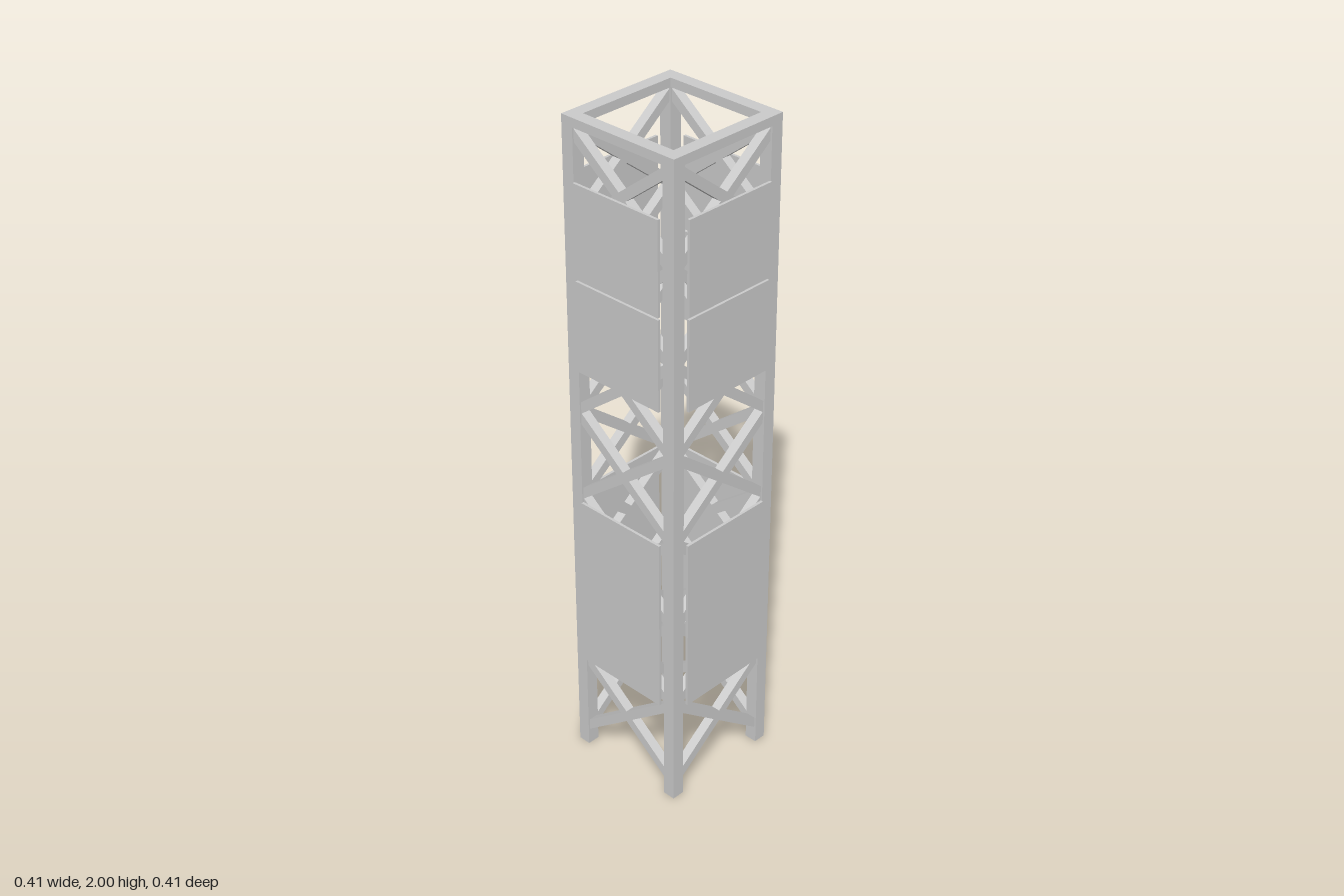
import * as THREE from 'three';

const material = new THREE.MeshStandardMaterial({ color: 0xcccccc, flatShading: true });

function box(parent, name, w, h, d, x, y, z) {
  const mesh = new THREE.Mesh(new THREE.BoxGeometry(w, h, d), material);
  mesh.name = name;
  mesh.position.set(x, y, z);
  parent.add(mesh);
  return mesh;
}

export function createModel() {
  const tower = new THREE.Group();
  tower.name = 'latticeTower';

  const post = 0.038;        // post thickness
  const outer = 0.193;       // half width over the posts
  const mid = outer - post / 2;
  const ringHeight = 0.026;
  const bays = 7;
  const pitch = 0.2735;      // height of one braced bay
  const firstBay = 0.19;     // centre of the lowest cross

  // Corner posts
  for (const x of [-mid, mid]) {
    for (const z of [-mid, mid]) {
      box(tower, 'cornerPost', post, 2 - ringHeight, post, x, (2 - ringHeight) / 2, z);
    }
  }

  // Square ring on top
  const ringShape = new THREE.Shape();
  ringShape.moveTo(-outer, -outer).lineTo(outer, -outer).lineTo(outer, outer).lineTo(-outer, outer).closePath();
  const inner = outer - post;
  const hole = new THREE.Path();
  hole.moveTo(-inner, -inner).lineTo(-inner, inner).lineTo(inner, inner).lineTo(inner, -inner).closePath();
  ringShape.holes.push(hole);
  const ringGeometry = new THREE.ExtrudeGeometry(ringShape, { depth: ringHeight, bevelEnabled: false });
  ringGeometry.rotateX(-Math.PI / 2);
  const ring = new THREE.Mesh(ringGeometry, material);
  ring.name = 'topRing';
  ring.position.y = 2 - ringHeight;
  tower.add(ring);

  // Panels as [bottom, top]
  const panels = [[0.325, 0.868], [1.286, 1.554], [1.56, 1.83]];

  // Four identical sides: crossed braces with panels in front
  const braceAngle = Math.atan2(0.775, 1);
  const braceLength = 2 * 0.168 / Math.cos(braceAngle);
  for (let s = 0; s < 4; s++) {
    const side = new THREE.Group();
    side.name = 'side';
    side.rotation.y = s * Math.PI / 2;
    for (let i = 0; i < bays; i++) {
      for (const dir of [-1, 1]) {
        const brace = box(side, 'crossBrace', braceLength, 0.028, 0.028, 0, firstBay + i * pitch, mid);
        brace.rotation.z = dir * braceAngle;
      }
    }
    for (const [bottom, top] of panels) {
      box(side, 'panel', 0.296, top - bottom, 0.008, 0, (bottom + top) / 2, 0.199);
    }
    tower.add(side);
  }

  return tower;
}
